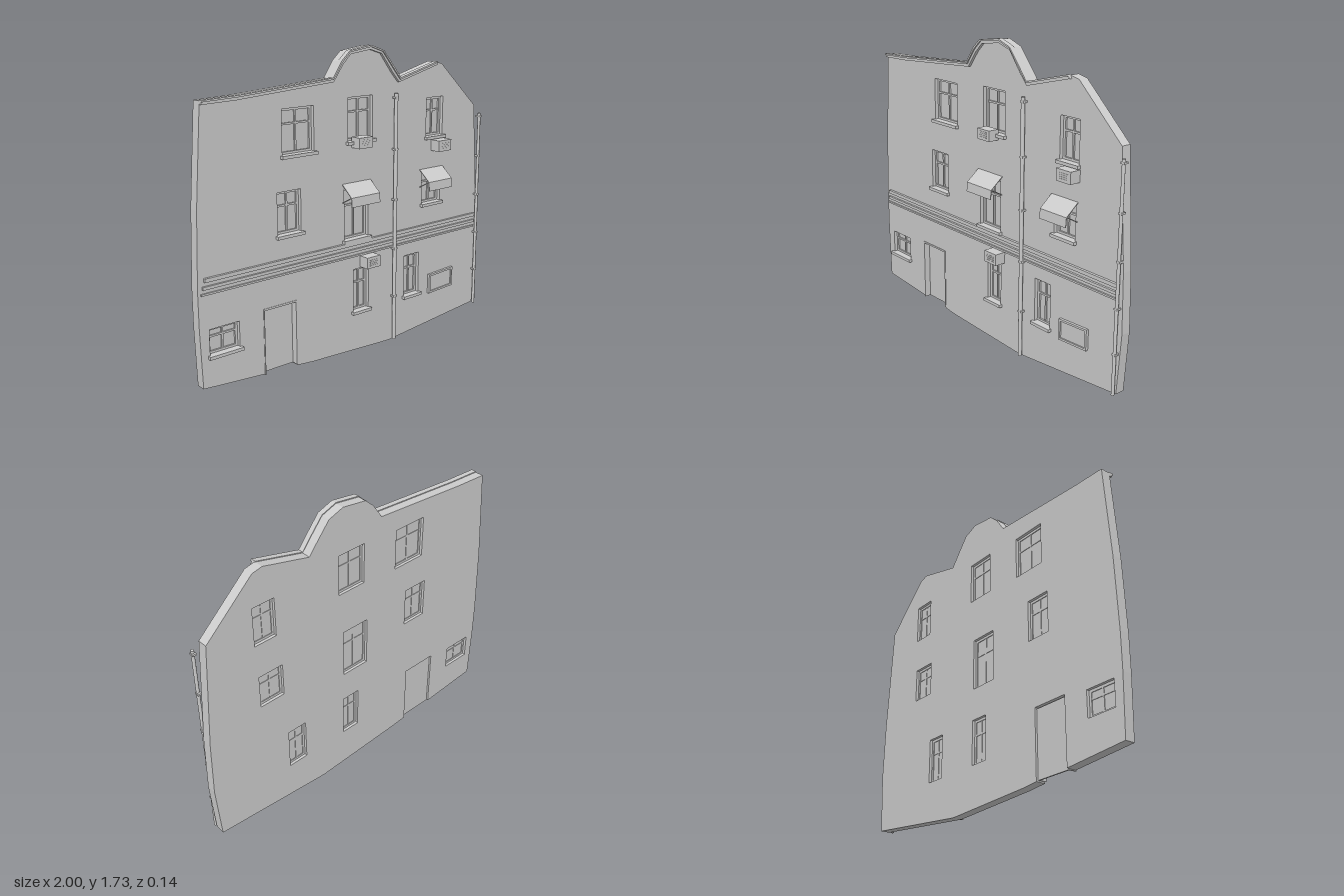
import * as THREE from 'three';

const plaster = new THREE.MeshStandardMaterial({ color: 0xcccccc });
plaster.name = 'plaster grey';
plaster.side = THREE.DoubleSide;

const FRONT = -0.015, BACK = -0.07;

const shapeOf = pts => new THREE.Shape(pts.map(p => new THREE.Vector2(p[0], p[1])));

function add(parent, name, geometry) {
  const mesh = new THREE.Mesh(geometry, plaster);
  mesh.name = name;
  parent.add(mesh);
  return mesh;
}

// box given by its extents
function block(parent, name, x0, x1, y0, y1, z0, z1) {
  const g = new THREE.BoxGeometry(x1 - x0, y1 - y0, z1 - z0);
  g.translate((x0 + x1) / 2, (y0 + y1) / 2, (z0 + z1) / 2);
  return add(parent, name, g);
}

// outline in the wall plane, extruded from z0 to z1
function slab(parent, name, pts, z0, z1, holes = []) {
  const s = shapeOf(pts);
  holes.forEach(h => s.holes.push(shapeOf(h)));
  const g = new THREE.ExtrudeGeometry(s, { depth: z1 - z0, bevelEnabled: false });
  g.translate(0, 0, z0);
  return add(parent, name, g);
}

const rect = (x0, x1, y0, y1) => [[x0, y0], [x1, y0], [x1, y1], [x0, y1]];

// window openings: x0, x1, y0, y1
const windows = [
  [-0.478, -0.275, 1.2, 1.438], [-0.045, 0.131, 1.22, 1.458], [0.543, 0.676, 1.18, 1.406],
  [-0.516, -0.366, 0.785, 1.014], [-0.072, 0.099, 0.675, 0.965], [0.516, 0.666, 0.785, 0.98],
  [-0.944, -0.767, 0.246, 0.386], [-0.008, 0.104, 0.246, 0.495], [0.382, 0.5, 0.246, 0.495],
];
const door = [-0.618, -0.404, 0.045, 0.412];

// gable line, left to right
const gable = [[-0.945, 1.525], [-0.75, 1.532], [-0.163, 1.572], [-0.104, 1.658], [-0.05, 1.706],
  [0.1, 1.727], [0.19, 1.695], [0.275, 1.594], [0.318, 1.54], [0.6, 1.612]];
const gableUnder = [[-0.945, 1.503], [-0.75, 1.508], [-0.153, 1.549], [-0.09, 1.635], [-0.038, 1.686],
  [0.1, 1.703], [0.18, 1.678], [0.26, 1.574], [0.312, 1.515], [0.612, 1.592]];

function windowUnit(parent, [x0, x1, y0, y1]) {
  const g = new THREE.Group();
  g.name = 'window';
  parent.add(g);
  const t = 0.014, cx = (x0 + x1) / 2, ty = y0 + (y1 - y0) * 0.66;
  block(g, 'glass', x0, x1, y0, y1, -0.05, -0.046);
  slab(g, 'windowFrame', rect(x0, x1, y0, y1), -0.054, -0.036, [rect(x0 + t, x1 - t, y0 + t, y1 - t)]);
  block(g, 'mullion', cx - 0.005, cx + 0.005, y0 + t, y1 - t, -0.053, -0.038);
  block(g, 'transom', x0 + t, x1 - t, ty - 0.005, ty + 0.005, -0.053, -0.037);
  block(g, 'sill', x0 - 0.012, x1 + 0.012, y0 - 0.015, y0 + 0.002, -0.05, 0.006);
}

function airConditioner(parent, x0, x1, y0, y1) {
  const g = new THREE.Group();
  g.name = 'airConditioner';
  parent.add(g);
  block(g, 'unitBody', x0, x1, y0, y1, FRONT, 0.05);
  // front grille slats
  for (let i = 0; i < 4; i++) {
    const y = y0 + 0.014 + i * 0.01;
    block(g, 'grilleSlat', x0 + 0.02, x1 - 0.02, y, y + 0.004, 0.05, 0.052);
  }
}

function awning(parent, x0, x1) {
  const g = new THREE.Group();
  g.name = 'awning';
  parent.add(g);
  // sloping canvas with a hanging front flap, profile in (z, y)
  const profile = [[-0.012, 0.995], [0.066, 0.932], [0.07, 0.88], [0.066, 0.88], [0.062, 0.93], [-0.012, 0.99]];
  const canvas = new THREE.ExtrudeGeometry(shapeOf(profile), { depth: x1 - x0, bevelEnabled: false });
  canvas.rotateY(-Math.PI / 2);
  canvas.translate(x1, 0, 0);
  add(g, 'canvas', canvas);
  // folding arms
  for (const x of [x0 + 0.006, x1 - 0.006]) {
    const path = new THREE.LineCurve3(new THREE.Vector3(x, 0.89, FRONT), new THREE.Vector3(x, 0.931, 0.06));
    add(g, 'supportArm', new THREE.TubeGeometry(path, 1, 0.003, 6));
  }
}

function drainpipe(parent, x, y0, y1, r) {
  const g = new THREE.Group();
  g.name = 'drainpipe';
  parent.add(g);
  const pipe = new THREE.CylinderGeometry(r, r, y1 - y0, 10);
  pipe.translate(x, (y0 + y1) / 2, 0.003);
  add(g, 'pipe', pipe);
  // wall brackets
  for (let i = 0; i < 5; i++) {
    const y = y0 + (y1 - y0) * (0.2 * i + 0.18);
    block(g, 'pipeBracket', x - r - 0.002, x + r + 0.002, y, y + 0.01, FRONT, 0.012);
  }
}

export function createModel() {
  const model = new THREE.Group();
  model.name = 'houseFront';

  // crooked wall, notched at the foot for the doorway
  const outline = [
    [-0.99, 0.08], [door[0], 0.05], [door[0], door[3]], [door[1], door[3]], [door[1], 0.038],
    [-0.3, 0.028], [0.25, 0.002], [0.28, 0.003], [0.98, 0.07], [1, 0.4], [0.99, 0.72],
    [0.945, 1.33], [0.66, 1.595], [0.6, 1.608],
    ...gable.slice(0, -1).reverse().map(([x, y]) => [x, y - 0.005]),
    [-0.985, 1], [-1, 0.6], [-1, 0.4],
  ];
  slab(model, 'wall', outline, BACK, FRONT, windows.map(w => rect(...w)));

  // cornice following the gable, with a thinner cap on top
  slab(model, 'cornice', [...gable, ...[...gableUnder].reverse()], FRONT - 0.005, 0.002);
  const capUnder = gable.map(([x, y], i) => [x + (gableUnder[i][0] - x) * 0.4, y + (gableUnder[i][1] - y) * 0.4]);
  slab(model, 'corniceCap', [...gable, ...capUnder.reverse()], 0.002, 0.01);

  windows.forEach(w => windowUnit(model, w));

  // door leaf and surround
  const [dx0, dx1, dy0, dy1] = door;
  block(model, 'door', dx0, dx1, dy0, dy1 - 0.005, -0.058, -0.05);
  block(model, 'doorHead', dx0, dx1, dy1 - 0.01, dy1, -0.05, -0.012);
  for (const x of [dx0, dx1 - 0.006]) block(model, 'doorJamb', x, x + 0.006, dy0, dy1, -0.05, -0.012);

  // string courses between the floors
  for (const [x0, y0, y1, z] of [[-0.965, 0.638, 0.658, 0], [-0.975, 0.6, 0.616, -0.003], [-0.985, 0.57, 0.58, -0.006]])
    block(model, 'stringCourse', x0, 0.965, y0, y1, FRONT - 0.004, z);

  airConditioner(model, -0.019, 0.078, 1.187, 1.246);
  airConditioner(model, 0.586, 0.687, 1.096, 1.16);
  airConditioner(model, 0.04, 0.136, 0.503, 0.567);
  awning(model, -0.088, 0.115);
  awning(model, 0.495, 0.682);
  drainpipe(model, 0.289, 0.01, 1.455, 0.011);
  drainpipe(model, 0.975, 0.07, 1.28, 0.009);

  // tilted notice board with a raised border
  const board = [[0.58, 0.22], [0.78, 0.23], [0.78, 0.348], [0.58, 0.338]];
  const inner = [[0.592, 0.232], [0.768, 0.241], [0.768, 0.336], [0.592, 0.327]];
  slab(model, 'noticeBoard', board, FRONT, -0.008);
  slab(model, 'noticeBoardBorder', board, -0.008, 0, [inner]);

  return model;
}
